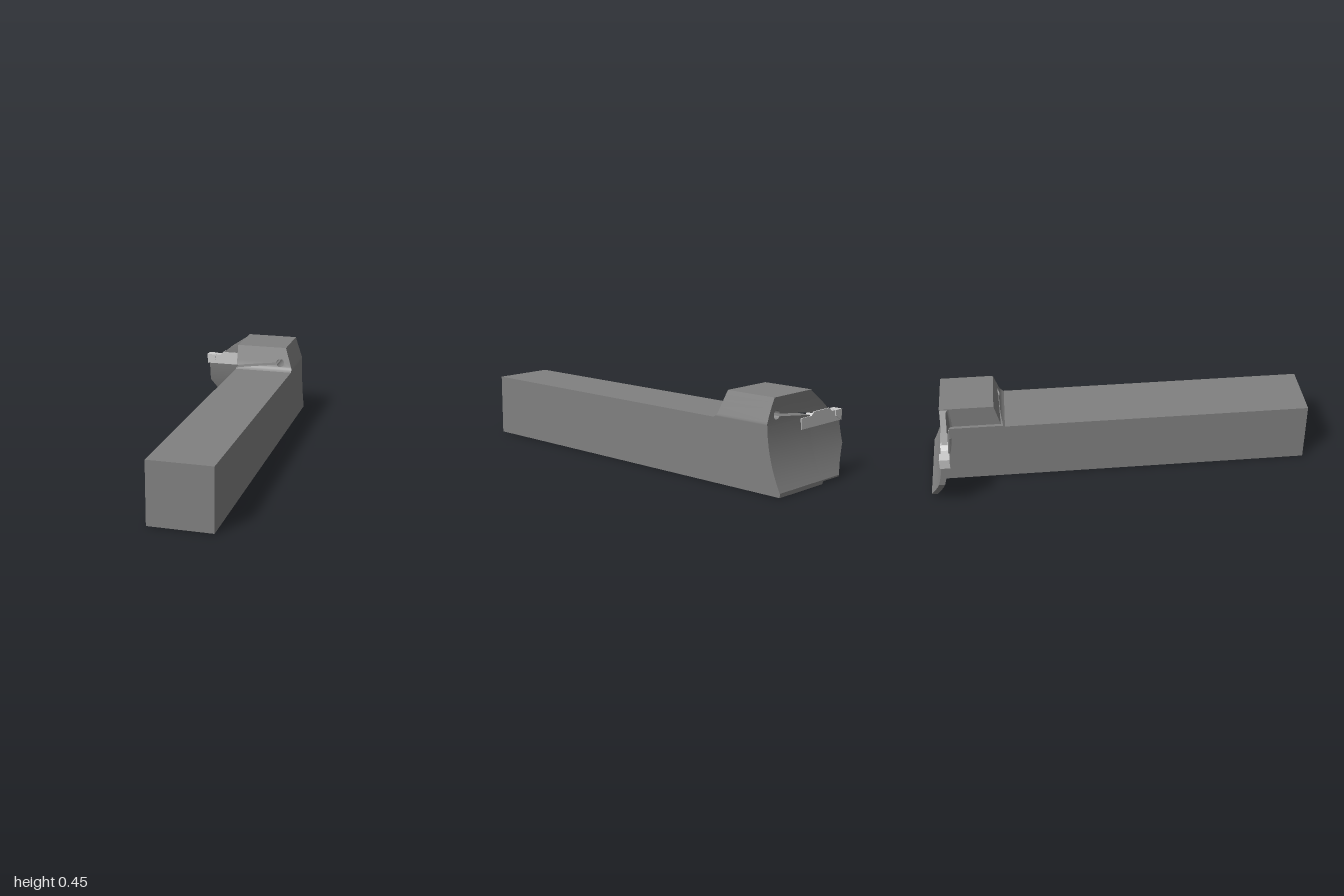
import * as THREE from 'three';
import { toCreasedNormals } from 'three/addons/utils/BufferGeometryUtils.js';

const steel = new THREE.MeshStandardMaterial({ color: 0x808080 });
const carbide = new THREE.MeshStandardMaterial({ color: 0xcccccc });

// concave arc, receding towards the bottom
const arc = (y, top, r) => top - r + Math.sqrt(r * r - (y - 0.35) ** 2);
const backFace = (x, y) => Math.max(-1, arc(y, -0.92, 0.72));

// blade front: concentric arc, with a fillet where it meets the shank
function bladeFront(x, y) {
  const t = THREE.MathUtils.clamp((x + 0.057) / 0.02, 0, 1);
  return arc(y, -0.89, 0.75) + 0.02 * (1 - Math.sqrt(1 - t * t));
}

// shank end below, sloped head front with a fillet above
function holderFront(x, y) {
  if (y < 0.32005) return 1;
  const h = y - 0.32;
  return -0.615 - 0.27 * h + 0.016 * Math.max(0, 1 - h / 0.025) ** 2;
}

// split triangles along the plane axis = level
function slice(tris, axis, level) {
  const out = [];
  for (const tri of tris) {
    const d = tri.map(p => p[axis] - level);
    if (Math.min(...d) > -1e-6 || Math.max(...d) < 1e-6) { out.push(tri); continue; }
    const poly = [[], []];
    for (let i = 0; i < 3; i++) {
      const j = (i + 1) % 3;
      if (d[i] > -1e-6) poly[0].push(tri[i]);
      if (d[i] < 1e-6) poly[1].push(tri[i]);
      if (Math.abs(d[i]) > 1e-6 && Math.abs(d[j]) > 1e-6 && d[i] * d[j] < 0) {
        const t = d[i] / (d[i] - d[j]);
        const p = tri[i].map((v, k) => v + (tri[j][k] - v) * t);
        p[axis] = level;
        poly[0].push(p);
        poly[1].push(p);
      }
    }
    for (const q of poly)
      for (let i = 1; i + 1 < q.length; i++) out.push([q[0], q[i], q[i + 1]]);
  }
  return out;
}

// extrude an outline, then bend its two caps onto the front and back surfaces
function part(name, outline, front, back, material, xLevels = [], yLevels = []) {
  const shape = new THREE.Shape(outline.map(p => new THREE.Vector2(...p)));
  let geo = new THREE.ExtrudeGeometry(shape, { depth: 1, bevelEnabled: false });
  if (geo.index) geo = geo.toNonIndexed();
  const pos = geo.attributes.position;
  let tris = [];
  for (let i = 0; i < pos.count; i += 3)
    tris.push([0, 1, 2].map(k => [pos.getX(i + k), pos.getY(i + k), pos.getZ(i + k)]));
  for (const x of xLevels) tris = slice(tris, 0, x);
  for (const y of yLevels) tris = slice(tris, 1, y);
  const flat = tris.flat().flatMap(([x, y, z]) => [x, y, z > 0.5 ? front(x, y) : back(x, y)]);
  const bent = new THREE.BufferGeometry();
  bent.setAttribute('position', new THREE.Float32BufferAttribute(flat, 3));
  const mesh = new THREE.Mesh(toCreasedNormals(bent, 0.4), material);
  mesh.name = name;
  return mesh;
}

export function createModel() {
  const group = new THREE.Group();
  group.name = 'grooving tool';
  const yLevels = [0.02, 0.32, 0.3201, 0.326, 0.333, 0.345];
  for (let y = 0.04; y < 0.45; y += 0.03) yLevels.push(y);
  const xLevels = [-0.057, -0.051, -0.046, -0.042, -0.039];

  // shank and head, with the clamping slot ending in a round hole
  const hole = [];
  for (let i = 0; i <= 28; i++) {
    const a = THREE.MathUtils.lerp(Math.PI - 0.09, -Math.PI + 0.47, i / 28);
    hole.push([0.218 + 0.022 * Math.cos(a), 0.365 + 0.022 * Math.sin(a)]);
  }
  group.add(part('shank and head', [
    [-0.037, 0], [0.287, 0], [0.287, 0.332], [0.245, 0.45], [-0.037, 0.45],
    [-0.037, 0.339], ...hole, [-0.037, 0.326],
  ], holderFront, backFace, steel, [], yLevels));

  // curved support blade under the insert
  group.add(part('support blade', [
    [-0.037, 0.265], [-0.277, 0.265], [-0.277, 0.155], [-0.175, 0.013],
    [-0.055, 0.013], [-0.047, 0.009], [-0.042, 0], [-0.037, 0],
  ], bladeFront, backFace, steel, xLevels, yLevels));

  // clamping jaw above the insert
  group.add(part('clamping jaw', [
    [-0.037, 0.445], [-0.14, 0.375], [-0.185, 0.338], [-0.065, 0.338],
    [-0.058, 0.331], [-0.037, 0.339],
  ], bladeFront, backFace, steel, xLevels, yLevels));

  // cutting insert: narrow seated body and wider cutting tip
  group.add(part('insert body', [
    [-0.245, 0.265], [0.035, 0.265], [0.035, 0.32], [-0.045, 0.32],
    [-0.065, 0.338], [-0.19, 0.338], [-0.21, 0.32], [-0.245, 0.32],
  ], () => -0.888, () => -0.926, carbide));
  group.add(part('insert tip', [
    [-0.289, 0.321], [-0.285, 0.265], [-0.24, 0.291], [-0.235, 0.321],
  ], () => -0.88, () => -0.932, carbide));
  group.add(part('insert tip base', [
    [-0.285, 0.265], [-0.235, 0.265], [-0.235, 0.3], [-0.286, 0.3],
  ], () => -0.888, () => -0.926, carbide));
  return group;
}
